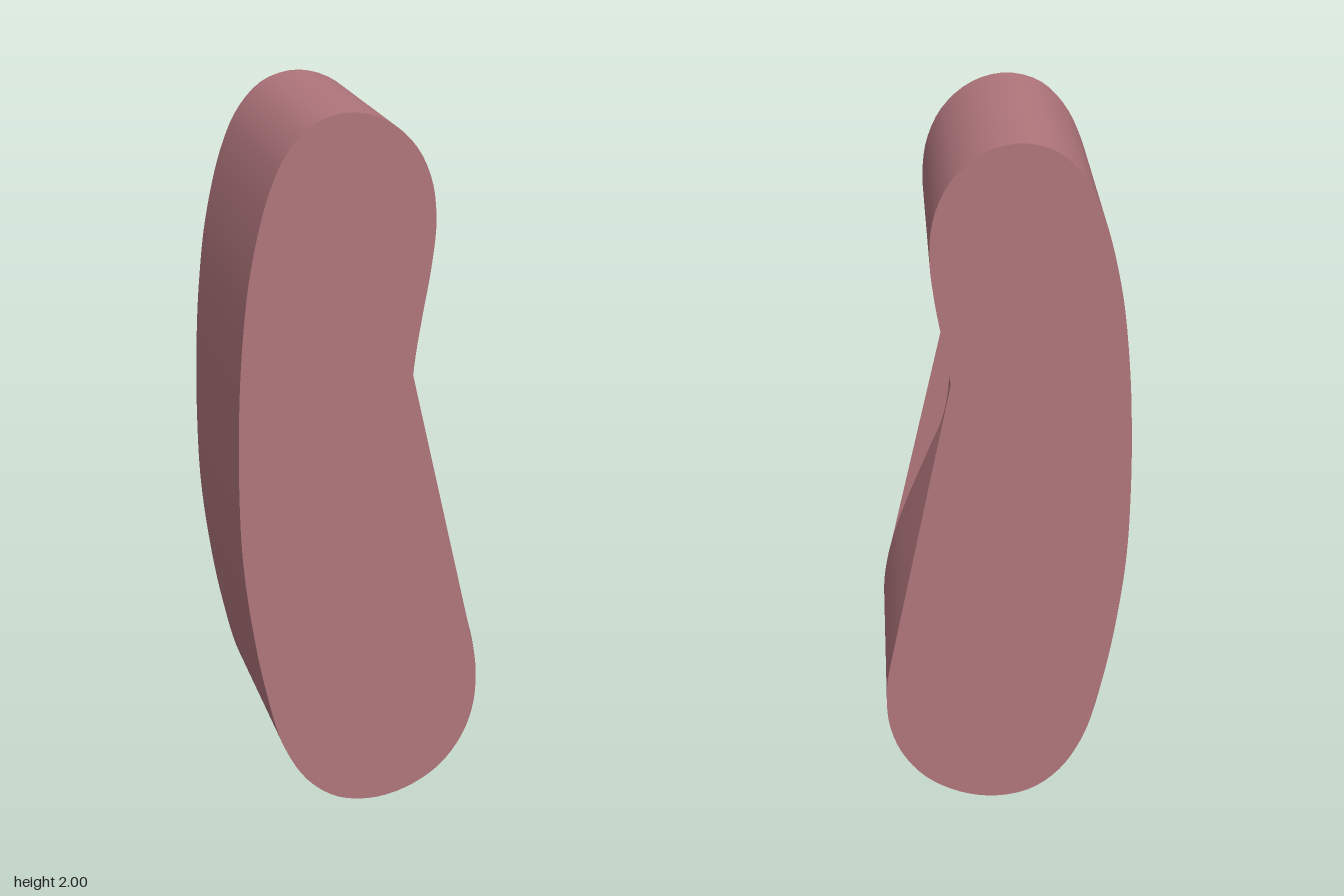
import * as THREE from 'three';

const DEPTH = 0.6;
const SEGMENTS = 160;

// Outline, clockwise from the lower right: foot, long back, head, hollow
const OUTLINE = [
  [0.33, 0.45], [0.34, 0.36], [0.333, 0.26], [0.30, 0.165], [0.23, 0.075], [0.13, 0.018], [0.03, 0],
  [-0.07, 0.02], [-0.155, 0.085], [-0.225, 0.205], [-0.277, 0.4], [-0.312, 0.6], [-0.334, 0.8],
  [-0.34, 1.0], [-0.337, 1.2], [-0.325, 1.4], [-0.3, 1.6], [-0.25, 1.8], [-0.2, 1.905],
  [-0.13, 1.975], [-0.035, 2], [0.06, 1.975], [0.14, 1.905], [0.185, 1.81], [0.198, 1.7],
  [0.187, 1.58], [0.165, 1.45], [0.146, 1.33], [0.134, 1.2], [0.131, 1.06], [0.15, 0.95],
  [0.186, 0.86], [0.26, 0.68], [0.306, 0.55],
];

export function createModel() {
  const group = new THREE.Group();
  group.name = 'curvedSlab';
  const material = new THREE.MeshStandardMaterial({ color: 0xb0767c, side: THREE.DoubleSide });

  const curve = new THREE.CatmullRomCurve3(OUTLINE.map(([x, y]) => new THREE.Vector3(x, y, 0)), true);

  // Smooth wall swept through the depth
  const positions = [], normals = [], index = [];
  for (let i = 0; i <= SEGMENTS; i++) {
    const p = curve.getPointAt(i / SEGMENTS);
    const t = curve.getTangentAt(i / SEGMENTS);
    for (const z of [DEPTH / 2, -DEPTH / 2]) {
      positions.push(p.x, p.y, z);
      normals.push(-t.y, t.x, 0);
    }
    if (i < SEGMENTS) {
      const a = i * 2;
      index.push(a, a + 2, a + 1, a + 2, a + 3, a + 1);
    }
  }
  const wallGeometry = new THREE.BufferGeometry();
  wallGeometry.setAttribute('position', new THREE.Float32BufferAttribute(positions, 3));
  wallGeometry.setAttribute('normal', new THREE.Float32BufferAttribute(normals, 3));
  wallGeometry.setIndex(index);
  const wall = new THREE.Mesh(wallGeometry, material);
  wall.name = 'wall';
  group.add(wall);

  // Flat faces bridge the hollow with a straight edge, up to chordTop
  const addFace = (name, z, chordTop) => {
    const points = curve.getSpacedPoints(SEGMENTS).slice(0, -1)
      .filter((p) => p.x < 0 || p.y <= 0.451 || p.y >= chordTop)
      .map((p) => new THREE.Vector2(p.x, p.y));
    const face = new THREE.Mesh(new THREE.ShapeGeometry(new THREE.Shape(points)), material);
    face.name = name;
    face.position.z = z;
    if (z < 0) {
      // Turn the back face outward, keeping its outline
      face.geometry.scale(-1, 1, 1);
      const order = face.geometry.index;
      for (let i = 0; i < order.count; i += 3) {
        const b = order.getX(i + 1);
        order.setX(i + 1, order.getX(i + 2));
        order.setX(i + 2, b);
      }
      face.geometry.computeVertexNormals();
      face.rotation.y = Math.PI;
    }
    group.add(face);
  };
  addFace('frontFace', DEPTH / 2, 1.27);
  addFace('backFace', -DEPTH / 2, 1.32);

  return group;
}
